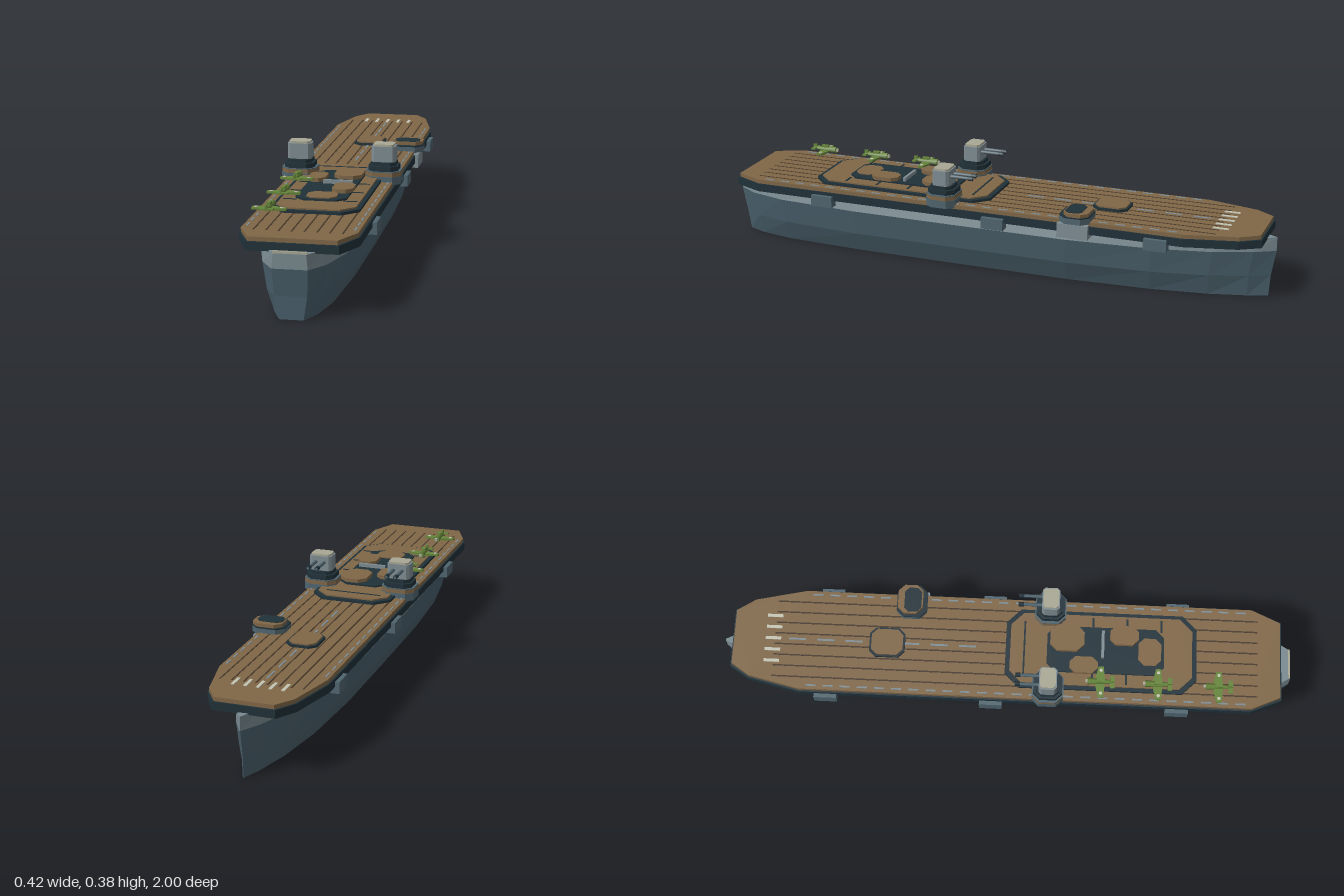
import * as THREE from 'three';

const mat = (name, color, extra = {}) => new THREE.MeshStandardMaterial({ name, color, ...extra });

export function createModel() {
  const root = new THREE.Group();
  root.name = 'carrier';
  const ship = new THREE.Group();
  ship.name = 'ship';
  ship.position.x = -0.004;
  root.add(ship);

  const M = {
    hull: mat('hull slate', 0x4b616d, { side: THREE.DoubleSide }),
    band: mat('upper hull grey', 0x798a90, { side: THREE.DoubleSide }),
    steel: mat('steel slate', 0x50656f),
    dark: mat('dark steel', 0x203139),
    wood: mat('deck wood', 0x806747),
    seam: mat('deck seam', 0x46382a),
    grey: mat('gun grey', 0x7f8d93),
    tan: mat('pale tan', 0xa9a894),
    white: mat('marking white', 0xc4c5b4),
    olive: mat('aircraft olive', 0x66853a),
  };

  const add = (name, geo, material, x = 0, y = 0, z = 0, parent = ship) => {
    const m = new THREE.Mesh(geo, material);
    m.name = name;
    m.position.set(x, y, z);
    parent.add(m);
    return m;
  };
  const box = (name, material, w, h, d, x, y, z, parent) =>
    add(name, new THREE.BoxGeometry(w, h, d), material, x, y, z, parent);
  const group = (name, x, y, z) => {
    const g = new THREE.Group();
    g.name = name;
    g.position.set(x, y, z);
    ship.add(g);
    return g;
  };
  // Flat slab from a plan outline of [x, z] points, between two heights
  const slab = (name, material, pts, y0, y1, parent = ship) => {
    const shape = new THREE.Shape(pts.map(([x, z]) => new THREE.Vector2(x, -z)));
    const geo = new THREE.ExtrudeGeometry(shape, { depth: y1 - y0, bevelEnabled: false });
    geo.rotateX(-Math.PI / 2);
    return add(name, geo, material, 0, y0, 0, parent);
  };
  // Rectangle with cut corners
  const octagon = (x0, x1, z0, z1, c) => [
    [x0 + c, z0], [x1 - c, z0], [x1, z0 + c], [x1, z1 - c],
    [x1 - c, z1], [x0 + c, z1], [x0, z1 - c], [x0, z0 + c]];

  // Hull shell: half-breadths from stern to bow, open below
  const stations = [[1, 0.056], [0.93, 0.1], [0.8, 0.135], [0.5, 0.156], [0.1, 0.158], [-0.3, 0.156],
    [-0.6, 0.132], [-0.8, 0.09], [-0.93, 0.042], [-1, 0.002]];
  const levels = [[0, 0.68, 0.98], [0.075, 0.9, 0.985], [0.165, 1, 1], [0.212, 0.92, 1]];
  const ring = ([y, k, zs]) => {
    const side = stations.map(([z, w]) => [w * k, y, z * zs]);
    return [...side, ...side.map(([x, yy, z]) => [-x, yy, z]).reverse()];
  };
  const rings = levels.map(ring);
  const shell = (from, to) => {
    const pos = [];
    for (let j = from; j < to; j++) {
      const a = rings[j], b = rings[j + 1];
      a.forEach((p, i) => {
        const n = (i + 1) % a.length;
        pos.push(...p, ...a[n], ...b[n], ...p, ...b[n], ...b[i]);
      });
    }
    const geo = new THREE.BufferGeometry();
    geo.setAttribute('position', new THREE.Float32BufferAttribute(pos, 3));
    geo.computeVertexNormals();
    return geo;
  };
  add('hull', shell(0, 2), M.hull);
  add('upperHull', shell(2, 3), M.band);
  slab('hullTop', M.band, rings[3].map(([x, , z]) => [x, z]), 0.2115, 0.213);
  box('sternSill', M.tan, 0.108, 0.008, 0.006, 0, 0.216, 0.995);

  // Flight deck: steel slab, wood planking
  const deck = (e) => {
    const right = [[0.145 - e, 0.965 - e], [0.19 - e, 0.86], [0.19 - e, -0.72], [0.148 - e, -0.9], [0.105 - e, -0.97 + e]];
    return [...right, ...right.map(([x, z]) => [-x, z]).reverse()];
  };
  slab('deckEdge', M.dark, deck(0), 0.208, 0.236);
  slab('deckWood', M.wood, deck(0.006), 0.236, 0.25);
  for (let i = -3.5; i <= 3.5; i++) box('deckSeam', M.seam, 0.005, 0.002, 1.7, i * 0.04, 0.2498, 0.03);

  // Deck markings
  for (let i = -2; i <= 2; i++) box('bowMark', M.white, 0.011, 0.004, 0.055, i * 0.042, 0.2505, -0.825);
  for (let z = -0.74; z < -0.1; z += 0.1) box('centreDash', M.grey, 0.007, 0.003, 0.06, 0, 0.2505, z);
  for (const s of [-1, 1]) for (let z = -0.68; z < 0.85; z += 0.06)
    box('edgeDash', M.grey, 0.006, 0.003, 0.035, s * 0.17, 0.2505, z);

  // Forward lift
  slab('liftRim', M.dark, octagon(-0.054, 0.054, -0.485, -0.36, 0.022), 0.249, 0.258);
  slab('liftTop', M.wood, octagon(-0.047, 0.047, -0.478, -0.367, 0.02), 0.258, 0.263);

  // Raised aft platform
  slab('platformRim', M.dark, octagon(-0.145, 0.145, -0.005, 0.665, 0.05), 0.249, 0.259);
  slab('platformTop', M.wood, octagon(-0.131, 0.131, 0.011, 0.649, 0.045), 0.259, 0.264);
  box('platformSeam', M.dark, 0.2, 0.003, 0.006, 0, 0.264, 0.06);
  for (const z of [0.3, 0.42, 0.54]) for (const s of [-1, 1])
    box('platformSeam', M.dark, 0.045, 0.003, 0.007, s * 0.1, 0.264, z);

  // Low stepped structure on the platform
  slab('stepBase', M.dark, octagon(-0.085, 0.085, 0.14, 0.55, 0.03), 0.264, 0.27);
  slab('stepForward', M.wood, octagon(-0.01, 0.085, 0.15, 0.27, 0.025), 0.27, 0.283);
  slab('stepMiddle', M.wood, octagon(-0.09, -0.03, 0.22, 0.32, 0.02), 0.27, 0.283);
  slab('stepAft', M.wood, octagon(0.02, 0.09, 0.36, 0.46, 0.02), 0.27, 0.283);
  slab('stepRear', M.wood, octagon(-0.05, 0.05, 0.46, 0.54, 0.02), 0.27, 0.274);
  box('stepBar', M.grey, 0.1, 0.013, 0.01, 0.02, 0.2775, 0.335);

  // Sponsons under the deck edge
  for (const s of [-1, 1]) for (const z of [0.6, -0.05, -0.63])
    box('sponson', M.steel, 0.035, 0.04, 0.08, s * 0.187, 0.205, z);
  box('turretSponson', M.grey, 0.06, 0.05, 0.11, 0.172, 0.215, -0.34);

  // Twin gun houses, barrels toward the bow
  for (const s of [-1, 1]) {
    const g = group('gunHouse', s * 0.147, 0, 0.148);
    slab('gunFoot', M.steel, octagon(-0.06, 0.06, -0.055, 0.055, 0.025), 0.24, 0.268, g);
    slab('gunRing', M.wood, octagon(-0.06, 0.06, -0.053, 0.053, 0.025), 0.268, 0.282, g);
    slab('gunRingTop', M.steel, octagon(-0.06, 0.06, -0.053, 0.053, 0.025), 0.282, 0.285, g);
    slab('gunCollar', M.dark, octagon(-0.051, 0.051, -0.05, 0.05, 0.022), 0.285, 0.302, g);
    slab('gunNeck', M.dark, octagon(-0.043, 0.043, -0.04, 0.04, 0.018), 0.302, 0.314, g);
    slab('gunBody', M.grey, octagon(-0.041, 0.041, -0.032, 0.03, 0.009), 0.314, 0.368, g);
    slab('gunRoof', M.tan, octagon(-0.036, 0.036, -0.028, 0.026, 0.008), 0.368, 0.375, g);
    for (const b of [-1, 1]) {
      const barrel = new THREE.CylinderGeometry(0.0055, 0.0065, 0.09, 6).rotateX(-Math.PI / 2);
      add('barrel', barrel, M.steel, b * 0.016, 0.346, -0.07, g);
      const muzzle = new THREE.CylinderGeometry(0.008, 0.008, 0.018, 6).rotateX(Math.PI / 2);
      add('muzzle', muzzle, M.dark, b * 0.016, 0.346, -0.105, g);
    }
  }

  // Low side turret on the forward left
  const turret = group('sideTurret', 0.155, 0, -0.345);
  slab('turretBase', M.steel, octagon(-0.06, 0.058, -0.052, 0.055, 0.025), 0.245, 0.266, turret);
  slab('turretRing', M.dark, octagon(-0.06, 0.058, -0.052, 0.055, 0.025), 0.266, 0.27, turret);
  slab('turretTop', M.wood, octagon(-0.05, 0.056, -0.048, 0.04, 0.022), 0.27, 0.282, turret);
  slab('turretPanel', M.dark, octagon(-0.045, 0.045, -0.025, 0.035, 0.015), 0.282, 0.284, turret);

  // Parked aircraft, noses toward the bow
  for (const z of [0.33, 0.53, 0.74]) {
    const p = group('aircraft', -0.122, 0.284, z);
    const body = new THREE.CylinderGeometry(0.012, 0.006, 0.09, 6).rotateX(-Math.PI / 2);
    add('fuselage', body, M.olive, 0, 0.005, 0, p);
    slab('wing', M.olive, [[-0.056, -0.008], [-0.012, -0.018], [0.012, -0.018], [0.056, -0.008],
      [0.056, 0.01], [0.012, 0.015], [-0.012, 0.015], [-0.056, 0.01]], -0.005, 0.002, p);
    box('tailplane', M.olive, 0.046, 0.005, 0.015, 0, 0.006, 0.041, p);
    box('tailFin', M.olive, 0.006, 0.016, 0.015, 0, 0.012, 0.041, p);
    box('canopy', M.olive, 0.012, 0.008, 0.026, 0, 0.016, 0, p);
    box('noseCap', M.tan, 0.01, 0.01, 0.008, 0, 0.005, -0.049, p);
    for (const s of [-1, 1])
      add('wingDisc', new THREE.CylinderGeometry(0.006, 0.006, 0.002, 8), M.white, s * 0.042, 0.003, 0.001, p);
  }
  return root;
}
